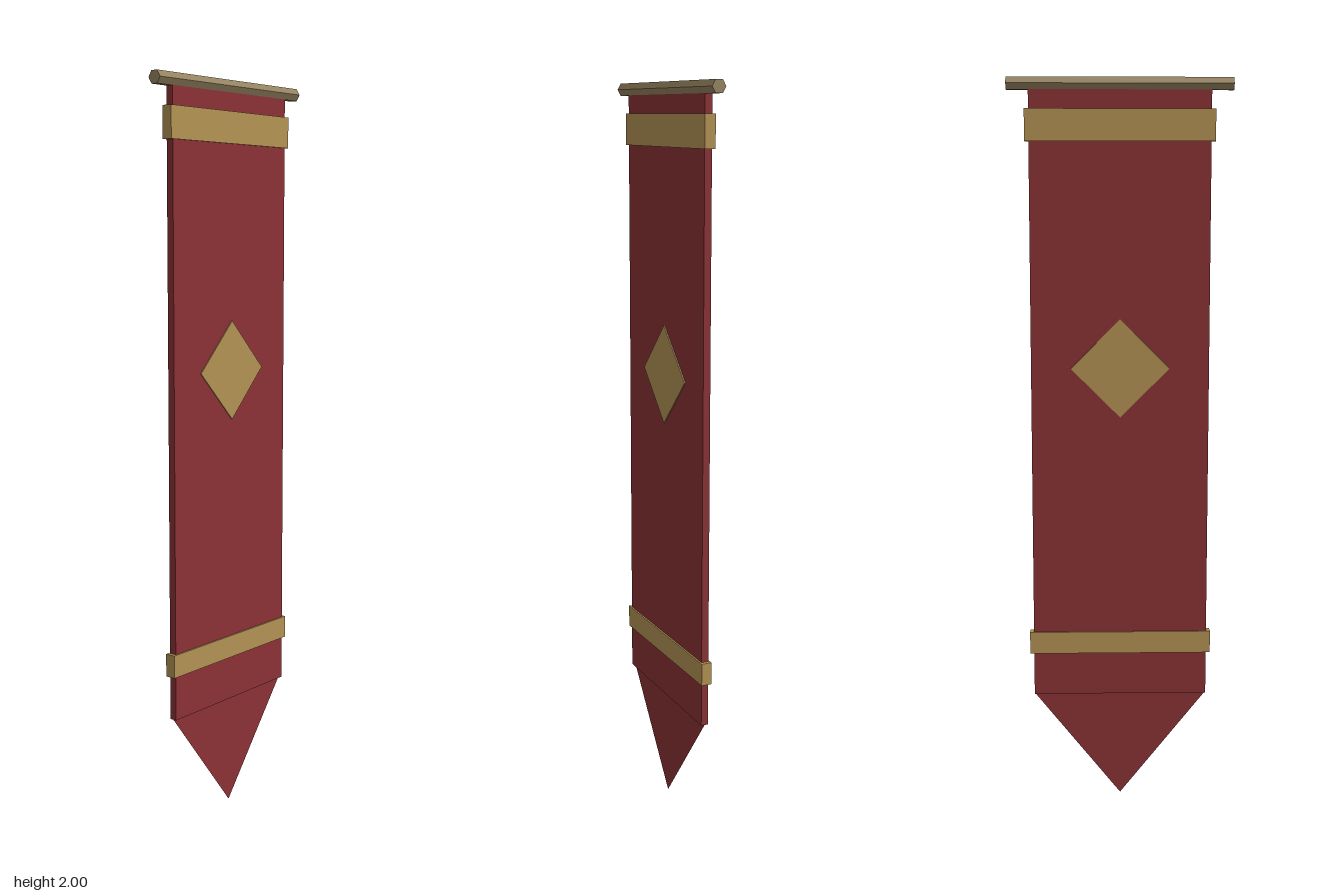
import * as THREE from 'three';

export function createModel() {
  const model = new THREE.Group();
  model.name = 'banner';

  const material = (name, color) => {
    const m = new THREE.MeshStandardMaterial({ color, flatShading: true });
    m.name = name;
    return m;
  };
  const red = material('red cloth', 0x8b3235);
  const gold = material('gold trim', 0xb39354);
  const bronze = material('bronze rod', 0x968460);

  const add = (name, geometry, mat, y = 0) => {
    const mesh = new THREE.Mesh(geometry, mat);
    mesh.name = name;
    mesh.position.y = y;
    model.add(mesh);
    return mesh;
  };

  // Hexagonal hanging rod
  add('rod', new THREE.CylinderGeometry(0.019, 0.019, 0.6, 6).rotateZ(Math.PI / 2), bronze, 1.9835);

  // Cloth panel, running from the rod down to the tail
  const bottom = 0.303, top = 1.98;
  add('cloth', new THREE.BoxGeometry(0.484, top - bottom, 0.02), red, (top + bottom) / 2);

  // Flat pointed tail, visible from both sides
  const tailShape = new THREE.Shape([
    new THREE.Vector2(-0.242, bottom),
    new THREE.Vector2(0, 0),
    new THREE.Vector2(0.242, bottom),
  ]);
  const tailRed = red.clone();
  tailRed.name = 'red cloth tail';
  tailRed.side = THREE.DoubleSide;
  add('tail', new THREE.ShapeGeometry(tailShape), tailRed);

  // Gold bands wrapped around the cloth
  add('upperBand', new THREE.BoxGeometry(0.506, 0.084, 0.029), gold, 1.877);
  add('lowerBand', new THREE.BoxGeometry(0.506, 0.062, 0.029), gold, 0.455);

  // Diamond emblem, showing on front and back
  add('diamond', new THREE.BoxGeometry(0.19, 0.19, 0.026).rotateZ(Math.PI / 4), gold, 1.231);

  return model;
}
